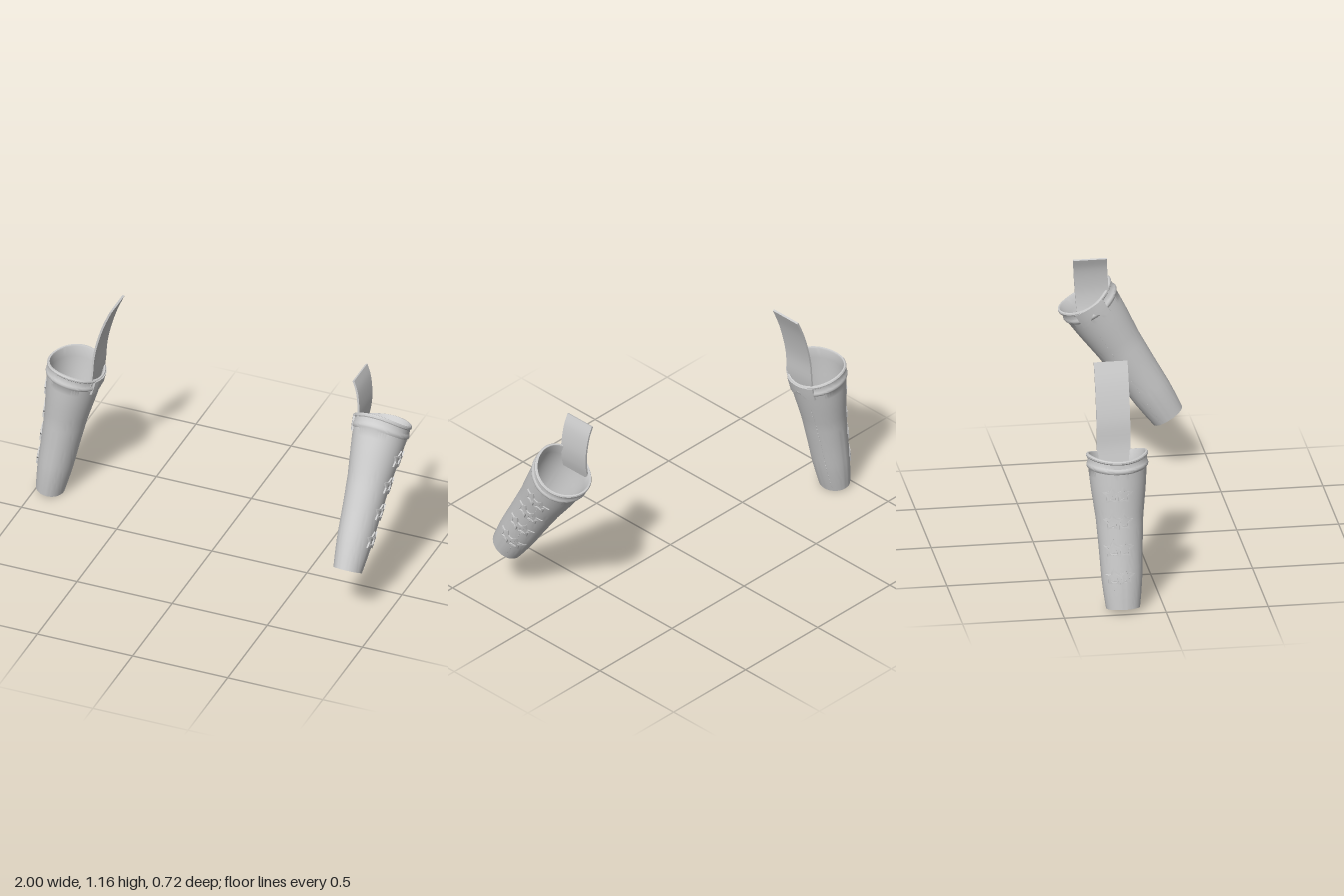
import * as THREE from 'three';
import { toCreasedNormals } from 'three/addons/utils/BufferGeometryUtils.js';

const grey = new THREE.MeshStandardMaterial({ color: 0xcccccc });
grey.name = 'plain grey';

// Outer wall: [height, half depth]
const WALL = [[0, 0.083], [0.07, 0.092], [0.15, 0.1], [0.3, 0.107], [0.45, 0.116], [0.6, 0.134], [0.7, 0.143], [0.76, 0.146]];

function halfDepth(t) {
  let i = 1;
  while (i < WALL.length - 1 && WALL[i][0] < t) i++;
  const [a, b] = [WALL[i - 1], WALL[i]];
  return THREE.MathUtils.mapLinear(t, a[0], b[0], a[1], b[1]);
}
const widthRatio = (t) => 0.84 + 0.15 * t;

function addMesh(parent, geometry, name) {
  const mesh = new THREE.Mesh(toCreasedNormals(geometry, 0.6), grey);
  mesh.name = name;
  parent.add(mesh);
}

function moveVertices(geometry, rule) {
  const p = geometry.attributes.position;
  const v = new THREE.Vector3();
  for (let i = 0; i < p.count; i++) {
    rule(v.fromBufferAttribute(p, i));
    p.setXYZ(i, v.x, v.y, v.z);
  }
  geometry.computeVertexNormals();
  return geometry;
}

// Lays a flat piece (x across, y up, z thickness) on the wall of one side
function wrap(geometry, side) {
  return moveVertices(geometry, (v) => {
    const r = halfDepth(v.y);
    const x = r * widthRatio(v.y) * Math.sqrt(Math.max(0, 1 - (v.x / r) ** 2)) + v.z;
    v.set(side * x, v.y, -side * v.x);
  });
}

// Hollow oval body with a hem bead and a wavy rim
function bodyGeometry() {
  const outer = [];
  for (let i = 0; i <= 20; i++) outer.push([halfDepth(i * 0.0345), i * 0.0345]);
  const hem = [[0.149, 0.698], [0.151, 0.706], [0.149, 0.714], [0.145, 0.72], [0.145, 0.742],
    [0.15, 0.747], [0.151, 0.755], [0.147, 0.761], [0.139, 0.761], [0.136, 0.755]];
  const inner = [0.7, 0.6, 0.45, 0.3, 0.15, 0.012].map((t) => [halfDepth(t) - 0.01, t]);
  const profile = [[0, 0], ...outer, ...hem, ...inner, [0, 0.012]].map(([r, t]) => new THREE.Vector2(r, t));
  return moveVertices(new THREE.LatheGeometry(profile, 64), (v) => {
    const r2 = v.x * v.x + v.z * v.z;
    const wave = r2 > 1e-6 ? (v.z * v.z - v.x * v.x) / r2 : 0;
    v.x *= widthRatio(v.y);
    v.y += 0.012 * wave * THREE.MathUtils.smoothstep(v.y, 0.58, 0.76);
  });
}

function starPath(target, radius) {
  for (let i = 0; i < 10; i++) {
    const r = i % 2 ? radius * 0.56 : radius;
    const a = Math.PI / 2 + (i * Math.PI) / 5;
    target[i ? 'lineTo' : 'moveTo'](r * Math.cos(a), r * Math.sin(a));
  }
  target.closePath();
  return target;
}

function sheath(outerSide) {
  const g = new THREE.Group();
  addMesh(g, bodyGeometry(), 'sheathBody');

  // Four rows of paired star rings on the outer face
  for (const t of [0.167, 0.308, 0.443, 0.579]) {
    for (const k of [-1, 1]) {
      const shape = starPath(new THREE.Shape(), 0.046);
      shape.holes.push(starPath(new THREE.Path(), 0.029));
      const star = new THREE.ExtrudeGeometry(shape, { depth: 0.011, bevelEnabled: false });
      star.translate(outerSide * 0.02 + k * 0.028, t, -0.003);
      addMesh(g, wrap(star, outerSide), 'starRing');
    }
  }

  // Stitched seam on both faces, set toward the back
  for (const side of [outerSide, -outerSide]) {
    for (let t = 0.03; t < 0.6; t += 0.025) {
      const stitch = new THREE.BoxGeometry(0.003, 0.013, 0.003);
      stitch.translate(side * 0.046, t, 0);
      addMesh(g, wrap(stitch, side), 'stitch');
    }
  }

  // Notched strap tab on the inner face
  const tab = new THREE.BoxGeometry(0.155, 1, 0.01, 16, 4, 1);
  moveVertices(tab, (v) => {
    const bottom = 0.665 + 0.045 * Math.max(0, 1 - Math.abs(v.x) / 0.05);
    v.y = THREE.MathUtils.lerp(bottom, 0.745, v.y + 0.5);
    v.z += 0.005;
    v.x += outerSide * -0.008;
  });
  addMesh(g, wrap(tab, -outerSide), 'strapTab');
  return g;
}

// Bent flat strap: path in x and y, with its z centre at bottom and top
function strap(path, zLow, zHigh) {
  const curve = new THREE.SplineCurve(path.map(([x, y]) => new THREE.Vector2(x, y)));
  const front = [], back = [];
  for (let i = 0; i <= 20; i++) {
    const p = curve.getPoint(i / 20), d = curve.getTangent(i / 20);
    front.push(new THREE.Vector2(p.x - d.y * 0.005, p.y + d.x * 0.005));
    back.unshift(new THREE.Vector2(p.x + d.y * 0.005, p.y - d.x * 0.005));
  }
  const geometry = new THREE.ExtrudeGeometry(new THREE.Shape([...front, ...back]), { depth: 0.165, bevelEnabled: false });
  const [y0, y1] = [path[0][1], path[path.length - 1][1]];
  return moveVertices(geometry, (v) => {
    v.z += THREE.MathUtils.mapLinear(v.y, y0, y1, zLow, zHigh) - 0.0825;
  });
}

export function createModel() {
  const model = new THREE.Group();

  // Left sheath, tipped backward
  const left = sheath(1);
  left.name = 'leftSheath';
  left.position.set(0.835, 0.28, 0.29);
  left.rotation.set(-0.56, 0, -0.028);
  model.add(left);
  addMesh(model, strap([[0.742, 0.85], [0.757, 0.91], [0.765, 0.98], [0.762, 1.05], [0.752, 1.11], [0.734, 1.16]], -0.085, -0.107), 'leftStrap');

  // Right sheath, leaning inward
  const right = sheath(-1);
  right.name = 'rightSheath';
  right.position.set(-0.932, 0.013, -0.202);
  right.rotation.set(-0.012, 0, -0.18);
  model.add(right);
  addMesh(model, strap([[-0.7, 0.67], [-0.684, 0.76], [-0.675, 0.87], [-0.654, 0.97], [-0.623, 1.07], [-0.585, 1.16]], -0.21, -0.21), 'rightStrap');
  return model;
}
